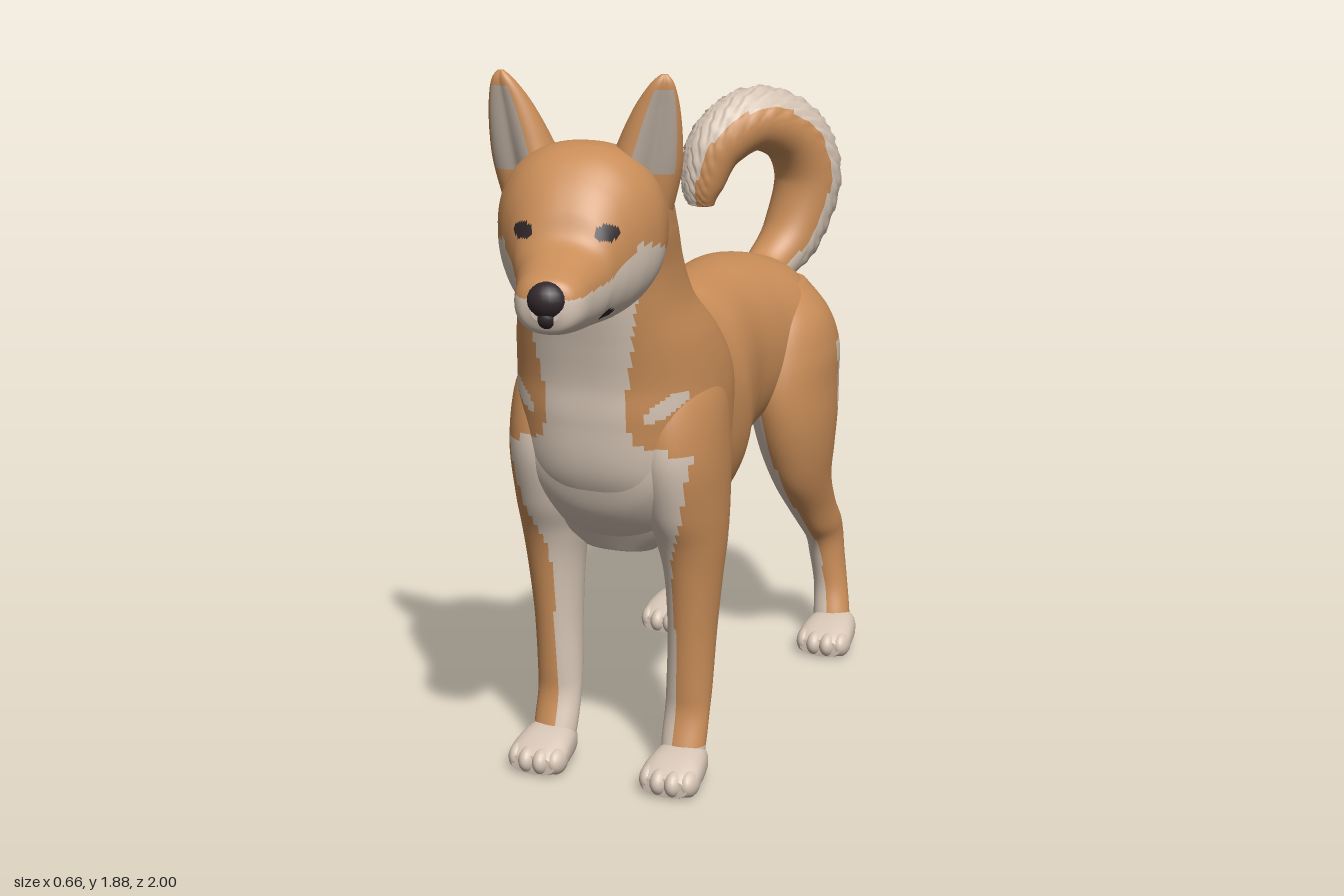
import * as THREE from 'three';

const mat = (name, color) => {
  const m = new THREE.MeshStandardMaterial({ color });
  m.name = name;
  return m;
};
const TAN = 0, CREAM = 1, DARK = 2, GREY = 3;

// Smooth interpolation of rows of numbers, n steps per gap
function smoothRows(rows, n) {
  const out = [], last = rows.length - 1;
  const at = i => rows[Math.max(0, Math.min(last, i))];
  for (let i = 0; i <= last * n; i++) {
    const k = Math.min(last - 1, Math.floor(i / n)), u = i / n - k;
    const [a, b, c, d] = [at(k - 1), at(k), at(k + 1), at(k + 2)];
    out.push(b.map((p, j) => p + 0.5 * u * (c[j] - a[j]
      + u * (2 * a[j] - 5 * p + 4 * c[j] - d[j] + u * (3 * (p - c[j]) + d[j] - a[j])))));
  }
  return out;
}

// Skins closed rings; paint(point, angle, along) picks the colour of each face
function skin(rings, paint, mirror = 1) {
  const tip = r => {
    const c = r.reduce((s, p) => s.add(p), new THREE.Vector3()).divideScalar(r.length);
    return r.map(() => c.clone());
  };
  const all = [tip(rings[0]), ...rings, tip(rings[rings.length - 1])];
  const n = rings[0].length, flat = all.flat(), faces = [[], [], [], []];
  let volume = 0;
  for (let i = 0; i < all.length - 1; i++) {
    for (let j = 0; j < n; j++) {
      const a = i * n + j, b = i * n + (j + 1) % n, c = b + n, d = a + n;
      const mid = flat[a].clone().add(flat[b]).add(flat[c]).add(flat[d]).multiplyScalar(0.25);
      faces[paint(mid, (j + 0.5) / n * Math.PI * 2, i / all.length)].push(a, b, c, a, c, d);
      volume += flat[a].dot(new THREE.Vector3().crossVectors(flat[b], flat[c]))
        + flat[a].dot(new THREE.Vector3().crossVectors(flat[c], flat[d]));
    }
  }
  const geo = new THREE.BufferGeometry(), index = [];
  faces.forEach((f, m) => {
    if (volume * mirror < 0) f.reverse();
    if (f.length) geo.addGroup(index.length, f.length, m);
    for (const v of f) index.push(v);
  });
  const pos = flat.flatMap(p => [p.x * mirror, p.y, p.z]);
  geo.setAttribute('position', new THREE.Float32BufferAttribute(pos, 3));
  geo.setIndex(index);
  geo.computeVertexNormals();
  return geo;
}

// Loft along y or z. Row: [position, low, high, centre x, half width]; power < 1 is boxier
function loft(axis, rows, paint, { mirror = 1, steps = 7, seg = 48, power = 1, shape = () => 1 } = {}) {
  const bend = v => Math.sign(v) * Math.abs(v) ** power;
  const rings = smoothRows(rows, steps).map(([s, lo, hi, cx, hw]) =>
    Array.from({ length: seg }, (_, j) => {
      const t = j / seg * Math.PI * 2, k = shape(t);
      const x = cx + Math.max(hw, 0.002) * bend(Math.cos(t)) * k;
      const w = (lo + hi) / 2 + (hi - lo) / 2 * bend(Math.sin(t)) * k;
      return axis === 'y' ? new THREE.Vector3(x, s, w) : new THREE.Vector3(x, w, s);
    }));
  return skin(rings, paint, mirror);
}

// Piecewise linear lookup through [key, value] pairs
function ramp(pairs, k) {
  if (k <= pairs[0][0]) return pairs[0][1];
  for (let i = 1; i < pairs.length; i++) {
    const [a, va] = pairs[i - 1], [b, vb] = pairs[i];
    if (k <= b) return va + (vb - va) * (k - a) / (b - a);
  }
  return pairs[pairs.length - 1][1];
}
const near = (p, x, y, z, rx, ry, rz) =>
  ((Math.abs(p.x) - x) / rx) ** 2 + ((p.y - y) / ry) ** 2 + ((p.z - z) / rz) ** 2 < 1;

// Coat markings
const bib = [[0.6, 0.17], [0.75, 0.22], [0.92, 0.25], [0.95, 0.13], [1.02, 0.1], [1.2, 0.13], [1.4, 0.16]];
const onChest = p => p.y < 1.42 && (p.z > 0.42 || (p.z > 0.3 && p.y < 0.75)) && Math.abs(p.x) < ramp(bib, p.y);
const bodyPaint = p => {
  const belly = p.z < 0.3 && p.y < 0.69 + (0.2 - p.z) * 0.19;
  const rump = p.z < -0.62 && p.y < 0.9;
  const spot = near(p, 0.195, 1.05 + (Math.abs(p.x) - 0.195) * 0.6, 0.5, 0.05, 0.025, 0.12);
  return belly || rump || spot || onChest(p) ? CREAM : TAN;
};
const foreLegPaint = p => {
  const inner = p.x < (p.y > 0.16 && p.y < 0.28 ? 0.135 : 0.16);
  const low = p.y < 0.68 && (inner || p.z < 0.3 - p.y * 0.06);
  return p.y < 0.1 || low || onChest(p) ? CREAM : TAN;
};
const hindLegPaint = p => {
  const inner = p.y < 0.85 && p.x < ramp([[0.1, 0.235], [0.33, 0.207], [0.45, 0.19], [0.85, 0.13]], p.y);
  const patch = p.y > 0.53 && p.y < 0.96 && p.z < ramp([[0.53, -0.72], [0.65, -0.66], [0.8, -0.61]], p.y);
  return p.y < 0.07 || inner || patch ? CREAM : TAN;
};
const cheek = [[-0.06, 1.39], [0, 1.465], [0.13, 1.5], [0.17, 1.47], [0.23, 1.43], [0.42, 1.42]];
const headPaint = p => {
  if (near(p, 0.095, 1.535, 0.19, 0.03, 0.021, 0.045)) return DARK;
  if (near(p, 0.085, 1.345, 0.2, 0.05, 0.012, 0.032)) return DARK;
  return p.z > -0.06 && p.y < ramp(cheek, p.z) ? CREAM : TAN;
};

export function createModel() {
  const dog = new THREE.Group();
  dog.name = 'dog';
  const mats = [mat('tanFur', 0xc98d58), mat('creamFur', 0xd6c5b5), mat('darkBrown', 0x30262a), mat('innerEarGrey', 0xb2a497)];
  const add = (name, geo, material = mats, parent = dog) => {
    const m = new THREE.Mesh(geo, material);
    m.name = name;
    parent.add(m);
    return m;
  };
  const ball = new THREE.SphereGeometry(1, 20, 12);
  const blob = (name, m, parent, p, s) => {
    const b = add(name, ball, m, parent);
    b.position.set(...p);
    b.scale.set(...s);
  };

  // Trunk and neck
  add('torso', loft('z', [
    [-0.79, 0.92, 1.01, 0, 0.05], [-0.75, 0.85, 1.1, 0, 0.145], [-0.68, 0.76, 1.175, 0, 0.205],
    [-0.55, 0.74, 1.215, 0, 0.235], [-0.4, 0.735, 1.235, 0, 0.2], [-0.25, 0.7, 1.235, 0, 0.187],
    [-0.1, 0.655, 1.23, 0, 0.215], [0, 0.62, 1.222, 0, 0.24], [0.1, 0.6, 1.237, 0, 0.25],
    [0.2, 0.595, 1.27, 0, 0.255], [0.3, 0.61, 1.27, 0, 0.265], [0.4, 0.66, 1.22, 0, 0.24],
    [0.48, 0.75, 1.1, 0, 0.19], [0.52, 0.85, 1, 0, 0.1]], bodyPaint, { seg: 72, power: 0.93 }));
  add('neckAndChest', loft('y', [
    [0.62, 0.24, 0.38, 0, 0.1], [0.7, 0.1, 0.43, 0, 0.2], [0.85, 0, 0.525, 0, 0.25],
    [1, 0, 0.55, 0, 0.265], [1.1, 0.02, 0.555, 0, 0.262], [1.2, 0.095, 0.575, 0, 0.245],
    [1.3, 0.205, 0.6, 0, 0.215], [1.4, 0.27, 0.62, 0, 0.205], [1.5, 0.33, 0.65, 0.01, 0.2],
    [1.6, 0.395, 0.66, 0.02, 0.185], [1.67, 0.45, 0.6, 0.025, 0.12]], bodyPaint, { seg: 108, steps: 12, power: 0.84 }));

  // Legs and paws
  for (const [side, mirror] of [['left', 1], ['right', -1]]) {
    add(side + 'FrontLeg', loft('y', [
      [0.03, 0.31, 0.41, 0.185, 0.055], [0.1, 0.29, 0.385, 0.183, 0.06], [0.18, 0.265, 0.36, 0.183, 0.06],
      [0.25, 0.245, 0.36, 0.185, 0.061], [0.4, 0.22, 0.37, 0.19, 0.063], [0.55, 0.2, 0.39, 0.194, 0.073],
      [0.65, 0.18, 0.415, 0.19, 0.088], [0.75, 0.155, 0.46, 0.18, 0.103], [0.9, 0.14, 0.5, 0.175, 0.11],
      [1.05, 0.16, 0.48, 0.163, 0.107], [1.16, 0.23, 0.43, 0.14, 0.075]], foreLegPaint, { mirror }));
    add(side + 'HindLeg', loft('y', [
      [0.03, -0.755, -0.66, 0.245, 0.055], [0.1, -0.775, -0.68, 0.238, 0.054], [0.18, -0.8, -0.7, 0.226, 0.05],
      [0.27, -0.83, -0.69, 0.21, 0.05], [0.33, -0.845, -0.665, 0.203, 0.05], [0.38, -0.825, -0.615, 0.2, 0.055],
      [0.45, -0.775, -0.55, 0.192, 0.062], [0.55, -0.722, -0.455, 0.187, 0.076], [0.65, -0.725, -0.4, 0.18, 0.097],
      [0.75, -0.75, -0.365, 0.172, 0.112], [0.85, -0.775, -0.35, 0.16, 0.122], [0.95, -0.78, -0.365, 0.15, 0.13],
      [1.05, -0.735, -0.4, 0.135, 0.118], [1.14, -0.67, -0.47, 0.11, 0.075]], hindLegPaint, { mirror }));
    for (const [part, cx, z] of [['FrontPaw', 0.187, 0.5], ['HindPaw', 0.25, -0.565]]) {
      const paw = new THREE.Group();
      paw.name = side + part;
      dog.add(paw);
      add('pawPad', loft('z', [[z - 0.2, 0.015, 0.06, cx, 0.04], [z - 0.17, 0, 0.105, cx, 0.062],
        [z - 0.1, 0, 0.1, cx, 0.077], [z - 0.04, 0, 0.075, cx, 0.079], [z - 0.015, 0.005, 0.055, cx, 0.06]],
        () => CREAM, { mirror, seg: 32, power: 0.8 }), mats, paw);
      [-0.055, -0.02, 0.02, 0.055].forEach((dx, i) => blob('toe', mats[CREAM], paw,
        [mirror * (cx + dx), 0.037, z - (i % 3 ? 0.04 : 0.055)], [0.026, 0.036, 0.042]));
    }
  }

  // Head, turned a little to its left
  const head = new THREE.Group();
  head.name = 'head';
  head.position.set(0.02, 0, 0.58);
  head.rotation.y = 0.2;
  dog.add(head);
  add('skullAndMuzzle', loft('z', [
    [-0.2, 1.4, 1.6, 0, 0.1], [-0.14, 1.36, 1.67, 0, 0.16], [-0.06, 1.32, 1.705, 0, 0.195],
    [0.03, 1.3, 1.717, 0, 0.203], [0.1, 1.295, 1.7, 0, 0.182], [0.16, 1.3, 1.65, 0, 0.15],
    [0.205, 1.305, 1.59, 0, 0.124], [0.24, 1.31, 1.525, 0, 0.11], [0.3, 1.318, 1.495, 0, 0.095],
    [0.36, 1.33, 1.475, 0, 0.083], [0.39, 1.342, 1.46, 0, 0.065], [0.405, 1.37, 1.43, 0, 0.035]],
    headPaint, { seg: 108, steps: 11, power: 0.88 }), mats, head);
  blob('nose', mats[DARK], head, [0, 1.417, 0.38], [0.05, 0.045, 0.045]);
  blob('noseBase', mats[DARK], head, [0, 1.378, 0.385], [0.026, 0.028, 0.03]);

  // Ears with a hollow, grey inside
  const hollow = t => Math.exp(-(((t - 1.15) / 0.75) ** 2));
  for (const [side, mirror] of [['left', 1], ['right', -1]]) {
    add(side + 'Ear', loft('y', [
      [1.52, -0.14, 0.05, 0.125, 0.075], [1.64, -0.12, 0.055, 0.143, 0.088], [1.72, -0.08, 0.045, 0.16, 0.076],
      [1.8, -0.042, 0.034, 0.178, 0.054], [1.855, -0.014, 0.026, 0.192, 0.029], [1.878, 0, 0.012, 0.197, 0.008]],
      (p, t) => p.y > 1.64 && p.y < 1.84 && hollow(t) > 0.3 ? GREY : TAN,
      { mirror, shape: t => 1 - 0.48 * hollow(t) }), mats, head);
  }

  // Curled tail: tan inside the curl, shaggy cream outside. Row: [x, y, z, radius]
  const across = new THREE.Vector3(0.78, 0, 0.62);
  const path = smoothRows([
    [0, 1.1, -0.64, 0.075], [0.01, 1.13, -0.755, 0.07], [0.05, 1.22, -0.855, 0.085], [0.08, 1.38, -0.9, 0.094],
    [0.05, 1.51, -0.85, 0.094], [-0.03, 1.565, -0.74, 0.09], [-0.11, 1.5, -0.65, 0.08],
    [-0.14, 1.39, -0.615, 0.06], [-0.14, 1.33, -0.61, 0.035]], 9);
  const vec = r => new THREE.Vector3(r[0], r[1], r[2]);
  const rings = path.map((r, i) => {
    const along = vec(path[Math.min(i + 1, path.length - 1)]).sub(vec(path[Math.max(i - 1, 0)])).normalize();
    const out = along.cross(across).normalize();
    return Array.from({ length: 48 }, (_, j) => {
      const t = j / 48 * Math.PI * 2;
      const shag = i > 14 ? 0.1 * Math.max(0, Math.cos(t)) * Math.sin(i * 2.1 + 3 * Math.sin(j * 1.3)) : 0;
      const k = r[3] * (1 + shag);
      return vec(r).addScaledVector(out, Math.cos(t) * k).addScaledVector(across, Math.sin(t) * k * 1.08);
    });
  });
  add('tail', skin(rings, (p, t, s) =>
    s > 0.12 && Math.cos(t) - 1.1 * s * s * Math.sin(t) > 0.35 * s - 0.05 ? CREAM : TAN));

  return dog;
}
